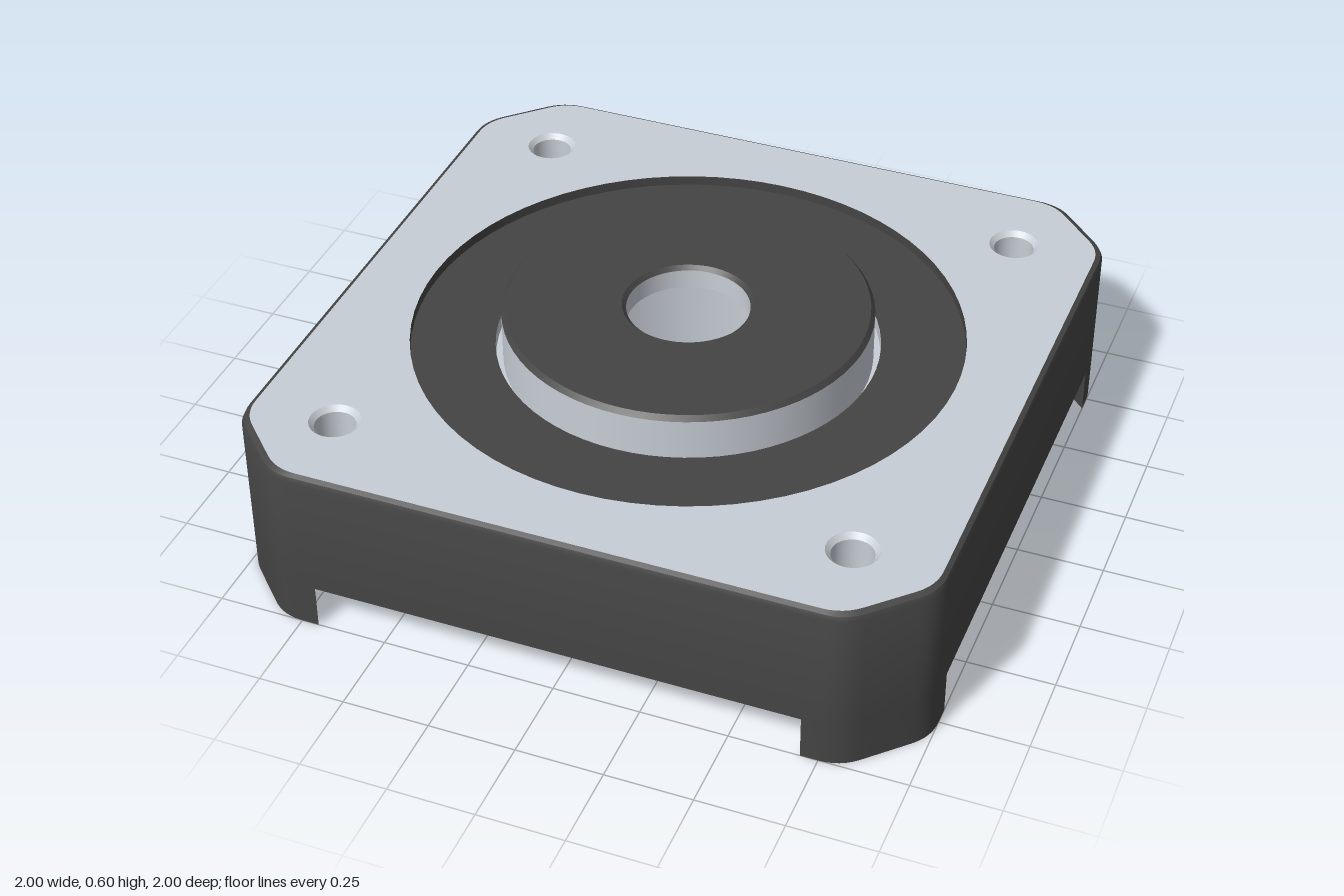
import * as THREE from 'three';
import { toCreasedNormals } from 'three/addons/utils/BufferGeometryUtils.js';

const dark = new THREE.MeshStandardMaterial({ color: 0x444444 });
dark.name = 'dark coating';
const silver = new THREE.MeshStandardMaterial({ color: 0xc8ced6 });
silver.name = 'bare metal';

const BASE = 0.13, SHOULDER = 0.49, TOP = 0.51, BOLT = 0.74;
const V = (x, y) => new THREE.Vector2(x, y);

// One chamfered corner with rounded ends, anticlockwise from +x side to +y side
function cornerPoints() {
  const bend = new THREE.QuadraticBezierCurve(V(1, 0.75), V(1, 0.81), V(0.958, 0.852)).getPoints(6);
  return [...bend, ...bend.map(p => V(p.y, p.x)).reverse()];
}

// Full outline: the corner turned through four quarters
function outline(scale = 1) {
  const pts = [];
  for (let q = 0; q < 4; q++) {
    for (const p of cornerPoints()) {
      pts.push(p.rotateAround(V(0, 0), q * Math.PI / 2).multiplyScalar(scale));
    }
  }
  return pts;
}

// Flat face with a central opening and four bolt openings
function plate(scale, centreRadius, boltRadius) {
  const shape = new THREE.Shape(outline(scale));
  const punch = (x, y, r) => {
    shape.holes.push(new THREE.Path().absarc(x, y, r, 0, Math.PI * 2, true));
  };
  punch(0, 0, centreRadius);
  for (const x of [-BOLT, BOLT]) for (const y of [-BOLT, BOLT]) punch(x, y, boltRadius);
  return new THREE.ShapeGeometry(shape, 36);
}

// Side wall with a small bevel at its upper edge
function wallGeometry() {
  const rings = [[BASE, 1], [SHOULDER, 1], [0.503, 0.995], [TOP, 0.982]];
  const position = [], index = [];
  const n = outline().length;
  for (const [y, s] of rings) for (const p of outline(s)) position.push(p.x, y, -p.y);
  for (let r = 0; r < rings.length - 1; r++) {
    for (let i = 0; i < n; i++) {
      const a = r * n + i, b = r * n + (i + 1) % n;
      index.push(a, b, b + n, a, b + n, a + n);
    }
  }
  const g = new THREE.BufferGeometry();
  g.setAttribute('position', new THREE.Float32BufferAttribute(position, 3));
  g.setIndex(index);
  return toCreasedNormals(g, 0.6);
}

export function createModel() {
  const model = new THREE.Group();
  model.name = 'flangedHousing';

  const add = (name, geometry, material, parent = model) => {
    const mesh = new THREE.Mesh(geometry, material);
    mesh.name = name;
    parent.add(mesh);
    return mesh;
  };

  // Turned surface between two profile points
  const turned = (name, from, to, material, parent = model, segments = 72) =>
    add(name, new THREE.LatheGeometry([V(...from), V(...to)], segments), material, parent);

  // Housing shell
  add('sideWall', wallGeometry(), dark);
  add('topFace', plate(0.982, 0.785, 0.072).rotateX(-Math.PI / 2).translate(0, TOP, 0), silver);
  add('undersideFace', plate(1, 0.38, 0.058).rotateX(Math.PI / 2).translate(0, BASE, 0), dark);

  // Corner feet, cut off diagonally on the inside
  const footShape = new THREE.Shape([V(1, 0.7), ...cornerPoints(), V(0.7, 1)]);
  const footGeometry = toCreasedNormals(
    new THREE.ExtrudeGeometry(footShape, { depth: BASE, bevelEnabled: false }).rotateX(-Math.PI / 2), 0.6);
  for (let q = 0; q < 4; q++) {
    add('cornerFoot', footGeometry, dark).rotation.y = q * Math.PI / 2;
  }

  // Recess, hub and bore, followed from the outer rim inward
  const profile = [
    ['recessWall', dark, 0.785, 0.48],
    ['recessFloor', dark, 0.545, 0.48],
    ['grooveWall', silver, 0.545, 0.44],
    ['grooveFloor', silver, 0.525, 0.44],
    ['hubSide', silver, 0.525, 0.585],
    ['hubEdge', dark, 0.513, 0.6],
    ['hubTop', dark, 0.187, 0.6],
    ['hubInnerEdge', dark, 0.175, 0.588],
    ['shaftHole', silver, 0.175, 0.53],
    ['hubUnderside', dark, 0.38, 0.53],
    ['bore', silver, 0.38, BASE],
  ];
  let last = [0.785, TOP];
  for (const [name, material, r, y] of profile) {
    turned(name, last, [r, y], material);
    last = [r, y];
  }

  // Countersunk bolt holes
  for (const x of [-BOLT, BOLT]) {
    for (const z of [-BOLT, BOLT]) {
      const hole = new THREE.Group();
      hole.name = 'boltHole';
      hole.position.set(x, 0, z);
      turned('countersink', [0.072, TOP], [0.058, 0.495], silver, hole, 36);
      turned('holeWall', [0.058, 0.495], [0.058, BASE], silver, hole, 36);
      model.add(hole);
    }
  }

  return model;
}
